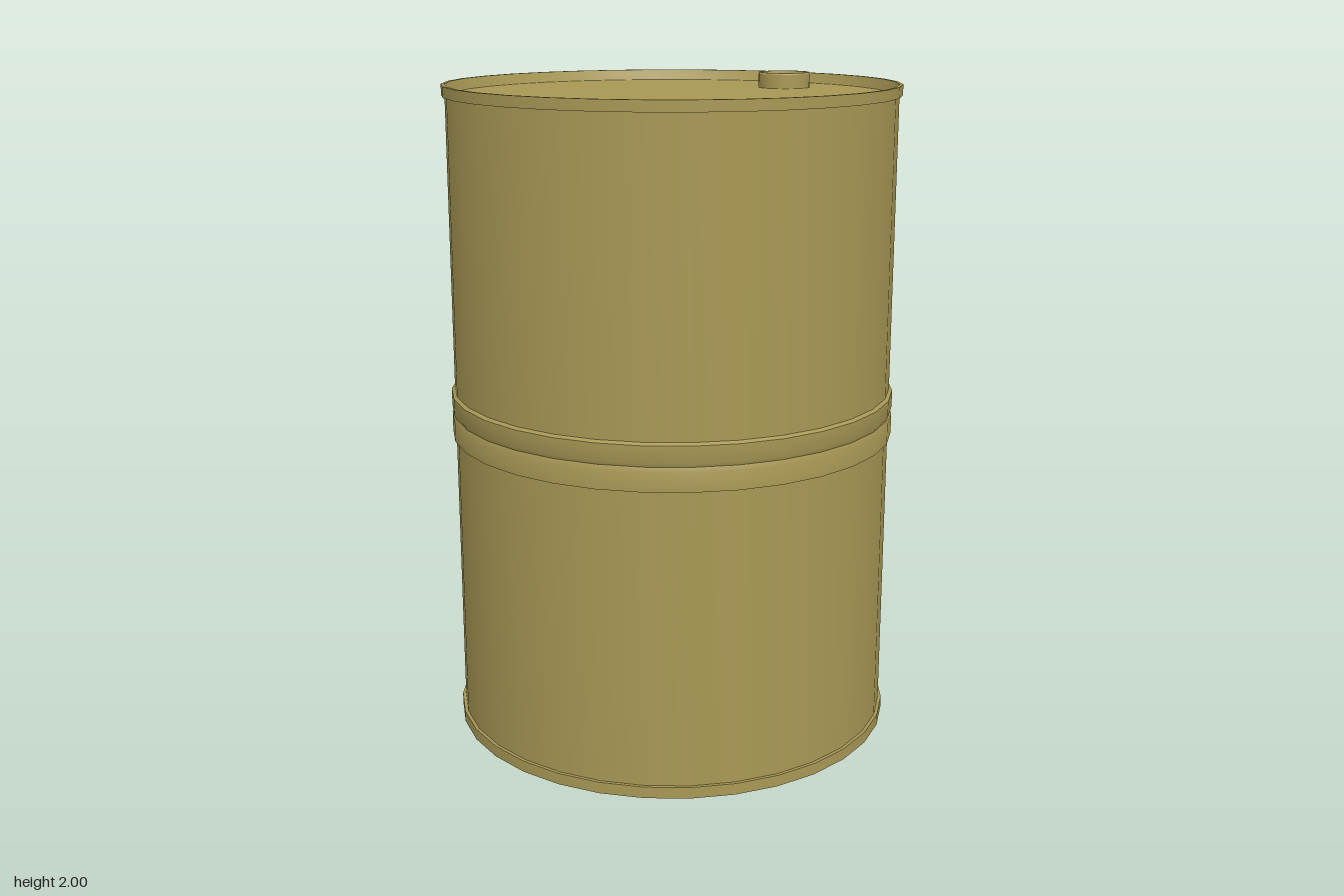
import * as THREE from 'three';
import { toCreasedNormals } from 'three/addons/utils/BufferGeometryUtils.js';

const SEGMENTS = 32;

export function createModel() {
  const group = new THREE.Group();
  group.name = 'barrel';
  const paint = new THREE.MeshStandardMaterial({ color: 0xa89855 });

  // Revolve a [radius, y] profile, listed so the outer wall runs upwards
  function turned(name, profile, segments = SEGMENTS) {
    const points = profile.map(([r, y]) => new THREE.Vector2(r, y));
    const geometry = toCreasedNormals(new THREE.LatheGeometry(points, segments), 0.5);
    const mesh = new THREE.Mesh(geometry, paint);
    mesh.name = name;
    group.add(mesh);
    return mesh;
  }

  // Recessed end plates, each sloping out to its rim
  turned('bottomPlate', [[0, 0.03], [0.66, 0.03], [0.672, 0]]);
  turned('lid', [[0.672, 1.985], [0.66, 1.953], [0, 1.953]]);

  // Drum wall
  turned('wall', [[0.672, 0.035], [0.672, 1.953]]);

  // Rolled rims at both ends
  turned('bottomRim', [[0.672, 0], [0.682, 0], [0.682, 0.035], [0.672, 0.035]]);
  turned('topRim', [[0.672, 1.953], [0.682, 1.953], [0.682, 1.985], [0.672, 1.985]]);

  // Middle hoop with a shallow groove around its centre
  turned('hoop', [
    [0.672, 0.927], [0.682, 0.927], [0.682, 0.985], [0.677, 0.998],
    [0.682, 1.01], [0.682, 1.06], [0.672, 1.067],
  ]);

  // Filler cap with a raised lip
  const cap = turned('fillerCap', [
    [0.08, 1.945], [0.08, 1.995], [0.077, 2], [0.071, 2], [0.068, 1.985], [0, 1.985],
  ]);
  cap.position.x = 0.45;

  return group;
}
